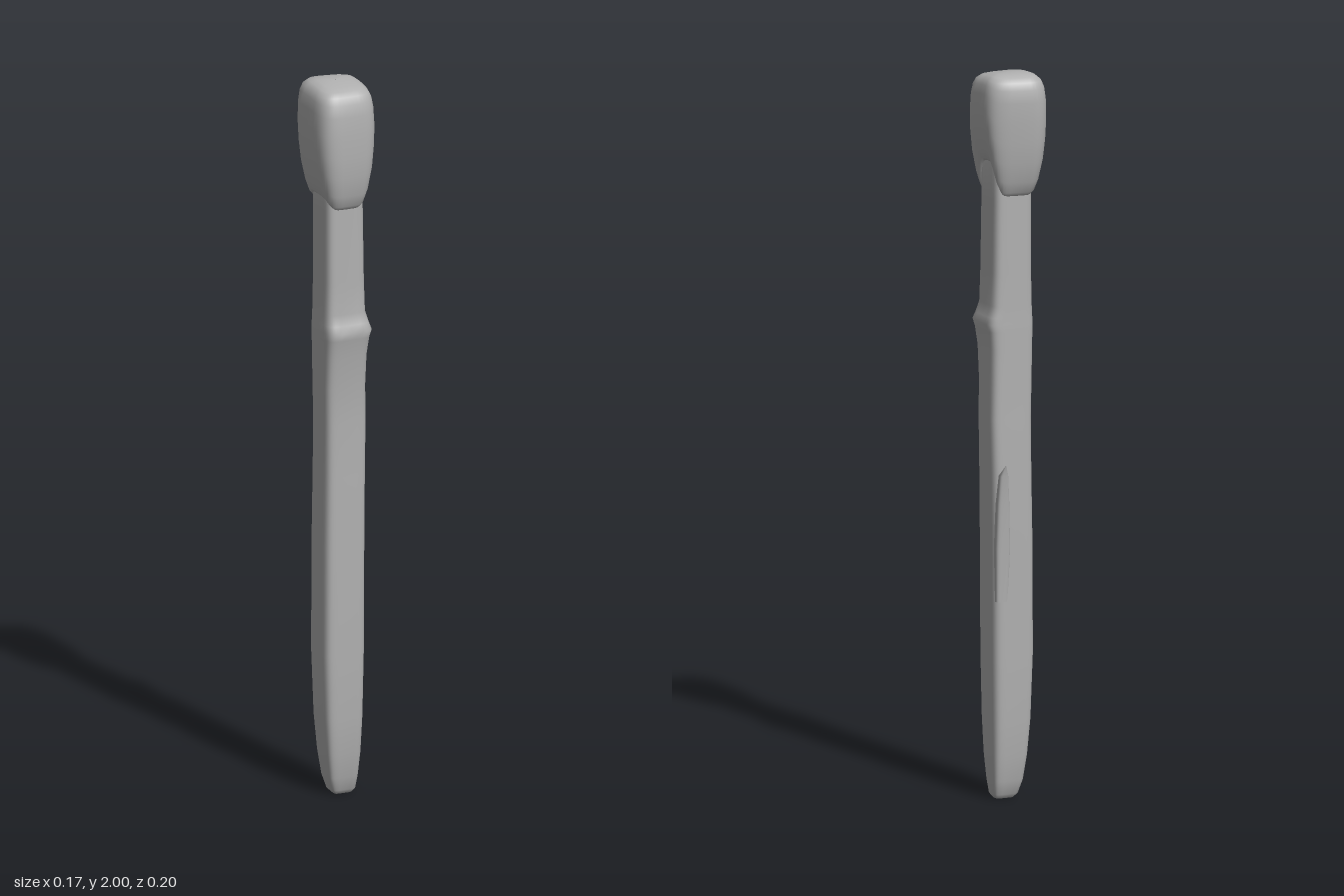
import * as THREE from 'three';

const SIDES = 48;

// One rounded-rectangle ring point: bounds x0..x1, z0..z1, p sets the corner sharpness
function ringPoint(angle, x0, x1, z0, z1, p) {
  const c = Math.cos(angle), s = Math.sin(angle);
  const bend = (v) => Math.sign(v) * Math.pow(Math.abs(v), p);
  return [(x0 + x1) / 2 + (x1 - x0) / 2 * bend(c), (z0 + z1) / 2 + (z1 - z0) / 2 * bend(s)];
}

// Joins rings (bottom to top) into a smooth closed skin
function loft(rows, pointAt) {
  const pos = [], index = [];
  for (let i = 0; i < rows; i++) {
    for (let j = 0; j < SIDES; j++) pos.push(...pointAt(i, j / SIDES * Math.PI * 2));
  }
  for (let i = 0; i < rows - 1; i++) {
    for (let j = 0; j < SIDES; j++) {
      const k = (j + 1) % SIDES, a = i * SIDES + j, b = i * SIDES + k;
      index.push(a, a + SIDES, b, b, a + SIDES, b + SIDES);
    }
  }
  const geo = new THREE.BufferGeometry();
  geo.setAttribute('position', new THREE.Float32BufferAttribute(pos, 3));
  geo.setIndex(index);
  geo.computeVertexNormals();
  return geo;
}

const loftStations = (list, p) => loft(list.length, (i, angle) => {
  const [y, x0, x1, z0, z1] = list[i];
  const [x, z] = ringPoint(angle, x0, x1, z0, z1, p);
  return [x, y, z];
});

export function createModel() {
  const group = new THREE.Group();
  const grey = new THREE.MeshStandardMaterial({ color: 0xb0b0b0 });
  grey.name = 'plain grey';
  const add = (name, geo) => {
    const mesh = new THREE.Mesh(geo, grey);
    mesh.name = name;
    group.add(mesh);
  };

  // Stick: y, then x and z bounds, with a raised knot near y = 1.31
  add('stick', loftStations([
    [0, 0.01, 0.012, 0.014, 0.016],
    [0, -0.015, 0.035, 0, 0.032],
    [0.012, -0.027, 0.044, -0.01, 0.042],
    [0.05, -0.038, 0.048, -0.022, 0.053],
    [0.12, -0.048, 0.052, -0.031, 0.065],
    [0.22, -0.056, 0.055, -0.038, 0.073],
    [0.4, -0.062, 0.058, -0.042, 0.077],
    [0.7, -0.06, 0.06, -0.044, 0.076],
    [0.9, -0.056, 0.063, -0.045, 0.073],
    [1.05, -0.055, 0.066, -0.043, 0.071],
    [1.15, -0.058, 0.063, -0.042, 0.075],
    [1.24, -0.06, 0.063, -0.042, 0.085],
    [1.29, -0.062, 0.068, -0.042, 0.093],
    [1.31, -0.063, 0.073, -0.042, 0.098],
    [1.33, -0.061, 0.068, -0.041, 0.088],
    [1.36, -0.059, 0.06, -0.041, 0.08],
    [1.45, -0.057, 0.057, -0.041, 0.079],
    [1.65, -0.056, 0.055, -0.042, 0.076],
    [1.85, -0.054, 0.054, -0.042, 0.074],
    [1.85, 0, 0.001, 0.015, 0.016],
  ], 0.4));

  // Splinter lifting off the back
  add('splinter', loftStations([
    [0.55, 0.02, 0.055, -0.044, -0.02],
    [0.7, 0.016, 0.058, -0.051, -0.02],
    [0.82, 0.022, 0.057, -0.058, -0.03],
    [0.9, 0.03, 0.054, -0.066, -0.045],
    [0.93, 0.041, 0.043, -0.073, -0.071],
  ], 0.6));

  // Head: height share, half width, half depth; the lower rim arches up on both sides
  const profile = [
    [0.1, 0.03, 0.03], [0, 0.054, 0.066], [0.03, 0.062, 0.075], [0.12, 0.07, 0.087],
    [0.28, 0.079, 0.097], [0.45, 0.084, 0.101], [0.62, 0.086, 0.102], [0.78, 0.084, 0.101],
    [0.88, 0.08, 0.096], [0.94, 0.073, 0.087], [0.975, 0.061, 0.072], [0.993, 0.045, 0.05],
    [1, 0.022, 0.026], [1, 0.001, 0.001],
  ];
  add('head', loft(profile.length, (i, angle) => {
    const [t, hx, hz] = profile[i];
    const c = Math.cos(angle);
    const rim = 1.655 + (c > 0 ? 0.1 : 0.03) * c ** 4 + 0.01 * Math.max(0, -Math.sin(angle));
    const lift = 0.012 * (1 - t);
    let [x, z] = ringPoint(angle, -hx, hx, lift - hz, lift + hz, 0.52);
    // The back slants in towards +x
    if (z < 0) z *= 1 - 0.27 * THREE.MathUtils.smoothstep(x, -0.05, 0.09);
    // The crown slopes down slightly to the front
    const slope = t * t * 0.008 * THREE.MathUtils.smoothstep(z, -0.02, 0.06);
    return [x, rim + t * (2 - rim) - slope, z];
  }));

  return group;
}
